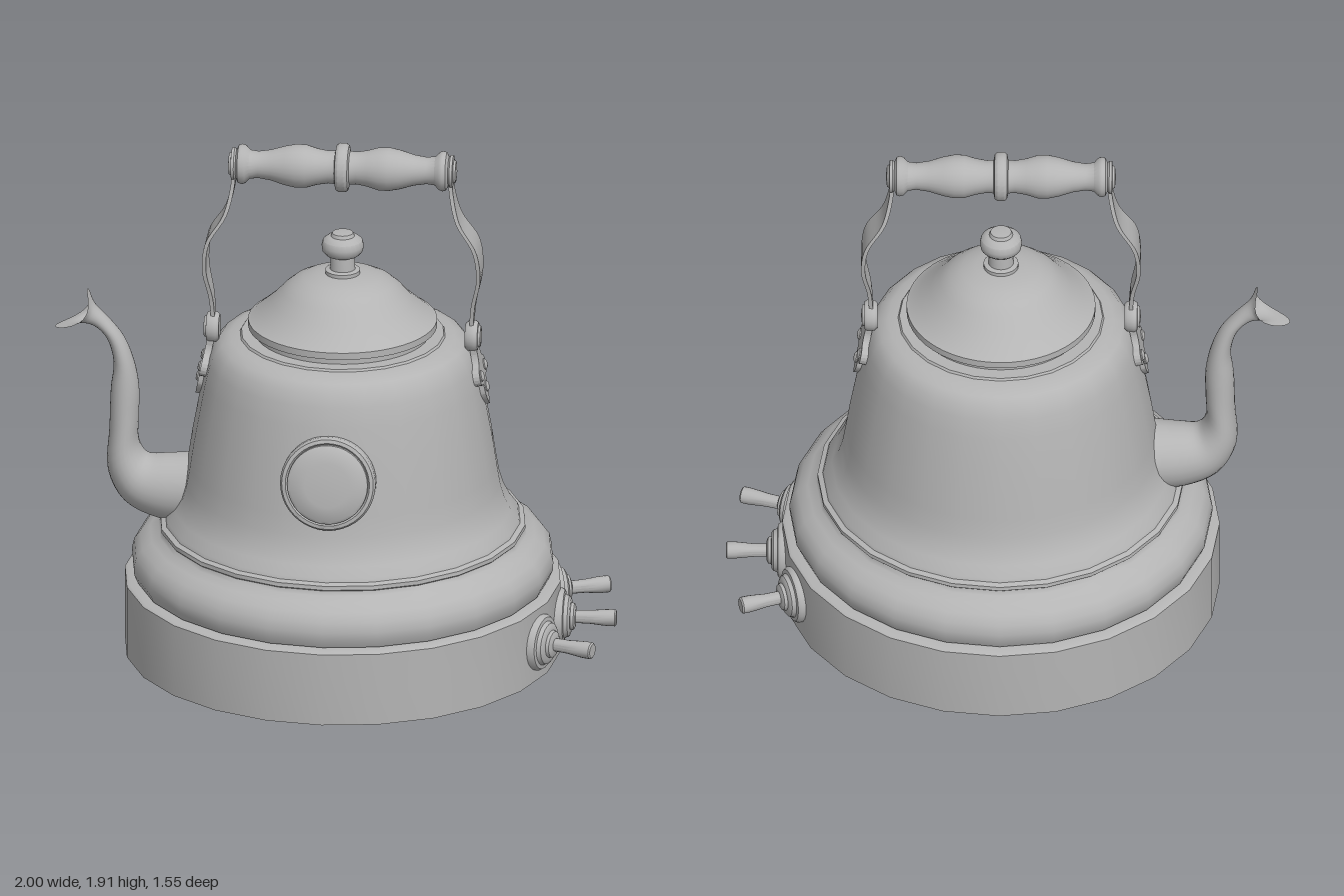
import * as THREE from 'three';
import { toCreasedNormals } from 'three/addons/utils/BufferGeometryUtils.js';

const metal = new THREE.MeshStandardMaterial({ color: 0xb4b4b4 });
metal.name = 'greyMetal';
const metalOpen = new THREE.MeshStandardMaterial({ color: 0xb4b4b4, side: THREE.DoubleSide });
metalOpen.name = 'greyMetal';

function part(name, geometry, material = metal) {
  const mesh = new THREE.Mesh(geometry, material);
  mesh.name = name;
  return mesh;
}

// Turned part from [radius, height] pairs, listed bottom to top
function turned(points, segments = 32, crease = 0.7) {
  const g = new THREE.LatheGeometry(points.map(([r, y]) => new THREE.Vector2(r, y)), segments);
  return toCreasedNormals(g, crease);
}

// Turned part whose axis points along +x
const turnedX = (points, segments = 24, crease = 0.7) => turned(points, segments, crease).rotateZ(-Math.PI / 2);

// Spout: elliptical rings between an outer and an inner edge line
function spoutGeometry() {
  // outer x, y, inner x, y, half width in z, bow x, bow y
  const keys = [
    [-0.49, 0.455, -0.48, 0.71, 0.13, 0, 0],
    [-0.63, 0.465, -0.60, 0.70, 0.115, 0, 0],
    [-0.75, 0.525, -0.67, 0.70, 0.10, 0, 0],
    [-0.81, 0.64, -0.70, 0.75, 0.085, 0, 0],
    [-0.805, 0.80, -0.70, 0.85, 0.07, 0, 0],
    [-0.80, 0.95, -0.70, 0.96, 0.06, 0, 0],
    [-0.79, 1.05, -0.72, 1.06, 0.05, 0, 0],
    [-0.815, 1.14, -0.755, 1.145, 0.04, 0, 0],
    [-0.86, 1.185, -0.81, 1.215, 0.036, 0, 0],
    [-0.92, 1.195, -0.858, 1.265, 0.043, 0.015, -0.005],
    [-1.0, 1.175, -0.885, 1.32, 0.06, 0.05, -0.02],
  ];
  const curve = (a, b, c) => new THREE.CatmullRomCurve3(
    keys.map((k) => new THREE.Vector3(k[a], k[b], k[c])));
  const outer = curve(0, 1, 4), inner = curve(2, 3, 4), bow = curve(5, 6, 4);
  const rings = 40, sides = 24, pos = [], index = [];
  for (let i = 0; i <= rings; i++) {
    const o = outer.getPoint(i / rings), n = inner.getPoint(i / rings), b = bow.getPoint(i / rings);
    for (let j = 0; j < sides; j++) {
      const a = (j / sides) * Math.PI * 2, c = Math.cos(a), s = Math.sin(a);
      pos.push((o.x + n.x) / 2 + (c * (n.x - o.x)) / 2 + b.x * s * s,
        (o.y + n.y) / 2 + (c * (n.y - o.y)) / 2 + b.y * s * s, s * o.z);
      if (i === rings) continue;
      const p = i * sides + j, q = i * sides + ((j + 1) % sides);
      index.push(p, q, p + sides, q, q + sides, p + sides);
    }
  }
  const g = new THREE.BufferGeometry();
  g.setAttribute('position', new THREE.Float32BufferAttribute(pos, 3));
  g.setIndex(index);
  // Keep faces pointing outwards
  g.computeVertexNormals();
  const row = 20 * sides;
  if (g.attributes.normal.getX(row) < 0) {
    g.setIndex(index.map((v, i) => index[i - (i % 3) + 2 - (i % 3)]));
    g.computeVertexNormals();
  }
  return g;
}

// Bent strap: points hold x, y and the half width
function strapGeometry() {
  const path = new THREE.CatmullRomCurve3([
    [0.385, 1.80, 0.03], [0.39, 1.74, 0.035], [0.415, 1.64, 0.058], [0.475, 1.54, 0.072],
    [0.488, 1.43, 0.06], [0.467, 1.32, 0.036], [0.461, 1.25, 0.026], [0.461, 1.19, 0.025],
  ].map((p) => new THREE.Vector3(...p)));
  const g = new THREE.BoxGeometry(0.014, 1, 2, 1, 32, 1);
  const p = g.attributes.position;
  for (let i = 0; i < p.count; i++) {
    const c = path.getPoint(0.5 - p.getY(i));
    p.setXYZ(i, c.x + p.getX(i), c.y, p.getZ(i) * c.z);
  }
  return toCreasedNormals(g, 0.6);
}

// Three-lobed mounting plate, hanging down from its pivot
function bracketGeometry() {
  const s = new THREE.Shape();
  s.moveTo(-0.035, 0.02);
  s.lineTo(-0.035, -0.06);
  s.quadraticCurveTo(-0.04, -0.09, -0.06, -0.1);
  s.bezierCurveTo(-0.105, -0.105, -0.105, -0.17, -0.055, -0.168);
  s.bezierCurveTo(-0.035, -0.165, -0.045, -0.19, -0.04, -0.21);
  s.quadraticCurveTo(-0.03, -0.235, 0, -0.262);
  s.quadraticCurveTo(0.03, -0.235, 0.04, -0.21);
  s.bezierCurveTo(0.045, -0.19, 0.035, -0.165, 0.055, -0.168);
  s.bezierCurveTo(0.105, -0.17, 0.105, -0.105, 0.06, -0.1);
  s.quadraticCurveTo(0.04, -0.09, 0.035, -0.06);
  s.lineTo(0.035, 0.02);
  return new THREE.ExtrudeGeometry(s, { depth: 0.025, bevelEnabled: false, curveSegments: 8 })
    .translate(0, 0, -0.015).rotateY(Math.PI / 2);
}

export function createModel() {
  const model = new THREE.Group();
  model.name = 'kettle';
  const kettle = new THREE.Group();
  kettle.name = 'kettleBody';
  kettle.position.x = 0.025;
  model.add(kettle);

  // Heating base and bell-shaped vessel
  kettle.add(part('base', turned([[0, 0], [0.775, 0], [0.775, 0.268], [0.765, 0.275], [0.7, 0.275]], 24)));
  kettle.add(part('vessel', turned([
    [0.7, 0.27], [0.735, 0.28], [0.748, 0.31], [0.75, 0.34], [0.742, 0.375], [0.72, 0.405], [0.685, 0.43],
    [0.655, 0.445], [0.645, 0.46], [0.65, 0.465], [0.65, 0.48], [0.632, 0.487], [0.627, 0.5], [0.6, 0.535],
    [0.577, 0.58], [0.562, 0.63], [0.55, 0.7], [0.535, 0.8], [0.515, 0.91], [0.495, 1.02], [0.478, 1.09],
    [0.46, 1.135], [0.435, 1.165], [0.4, 1.18], [0.365, 1.185], [0.36, 1.193], [0.31, 1.193],
  ], 24)));

  // Lid and knob
  kettle.add(part('lid', turned([
    [0.31, 1.18], [0.31, 1.215], [0.335, 1.22], [0.335, 1.245], [0.325, 1.25], [0.29, 1.28], [0.25, 1.315],
    [0.215, 1.355], [0.18, 1.385], [0.14, 1.405], [0.09, 1.418], [0, 1.42],
  ], 48)));
  kettle.add(part('knob', turned([
    [0.062, 1.41], [0.062, 1.432], [0.045, 1.436], [0.042, 1.485], [0.058, 1.49], [0.072, 1.505], [0.075, 1.525],
    [0.07, 1.545], [0.053, 1.558], [0.042, 1.56], [0.037, 1.572], [0, 1.577],
  ], 24)));

  // Grip
  const half = [
    [0.088, 0], [0.088, 0.012], [0.08, 0.022], [0.06, 0.026], [0.058, 0.05], [0.065, 0.09], [0.077, 0.13],
    [0.078, 0.165], [0.07, 0.205], [0.055, 0.255], [0.048, 0.3], [0.052, 0.33], [0.068, 0.345], [0.072, 0.358],
    [0.068, 0.37], [0.052, 0.378], [0.058, 0.384], [0.058, 0.394], [0.042, 0.396], [0.038, 0.404], [0, 0.408],
  ];
  const grip = part('grip', turnedX([...half.slice(1).reverse().map(([r, y]) => [r, -y]), ...half]));
  grip.position.y = 1.82;
  kettle.add(grip);

  // Handle sides: strap, pivot, mounting plate and rivets
  for (const [name, turn] of [['leftHandleSide', 0], ['rightHandleSide', Math.PI]]) {
    const side = new THREE.Group();
    side.name = name;
    side.rotation.y = turn;
    side.add(part('strap', strapGeometry()));
    const pivot = part('pivot', turnedX([
      [0, -0.03], [0.045, -0.03], [0.054, -0.02], [0.056, 0.005], [0.05, 0.015], [0.04, 0.016], [0.036, 0.024], [0, 0.028],
    ]));
    pivot.position.set(0.468, 1.195, 0);
    side.add(pivot);
    const mount = new THREE.Group();
    mount.name = 'mount';
    mount.position.set(0.462, 1.195, 0);
    mount.rotation.z = 0.2;
    mount.add(part('mountPlate', bracketGeometry()));
    for (const [y, z] of [[-0.134, -0.057], [-0.134, 0.057], [-0.195, 0]]) {
      const rivet = part('rivet', turnedX([[0.02, 0], [0.02, 0.014], [0.013, 0.02], [0, 0.022]], 16));
      rivet.position.set(0, y, z);
      mount.add(rivet);
    }
    side.add(mount);
    kettle.add(side);
  }

  // Round badge on the front
  const badge = part('badge', turned([
    [0.16, -0.06], [0.168, -0.05], [0.17, 0.01], [0.163, 0.022], [0.15, 0.024], [0.144, 0.016],
    [0.143, 0.028], [0.132, 0.038], [0.08, 0.045], [0, 0.047],
  ], 40));
  badge.position.set(0, 0.828, 0.535);
  badge.rotation.x = Math.PI / 2 - 0.16;
  kettle.add(badge);

  // Toggle switches set radially on the base
  for (const angle of [-0.335, 0, 0.335]) {
    const toggle = new THREE.Group();
    toggle.name = 'toggleSwitch';
    toggle.rotation.y = angle;
    toggle.add(part('switchCollar', turnedX([
      [0.1, 0.74], [0.102, 0.778], [0.094, 0.79], [0.08, 0.792], [0.076, 0.798], [0.074, 0.806], [0.064, 0.813],
      [0.05, 0.814], [0.047, 0.825], [0.036, 0.83], [0, 0.832],
    ])));
    toggle.add(part('switchLever', turnedX([[0.023, 0.81], [0.024, 0.88], [0.03, 0.94], [0.03, 0.97], [0.025, 0.975], [0, 0.975]], 16)));
    toggle.position.y = 0.137;
    kettle.add(toggle);
  }

  // Curved pouring spout
  model.add(part('spout', spoutGeometry(), metalOpen));
  return model;
}
